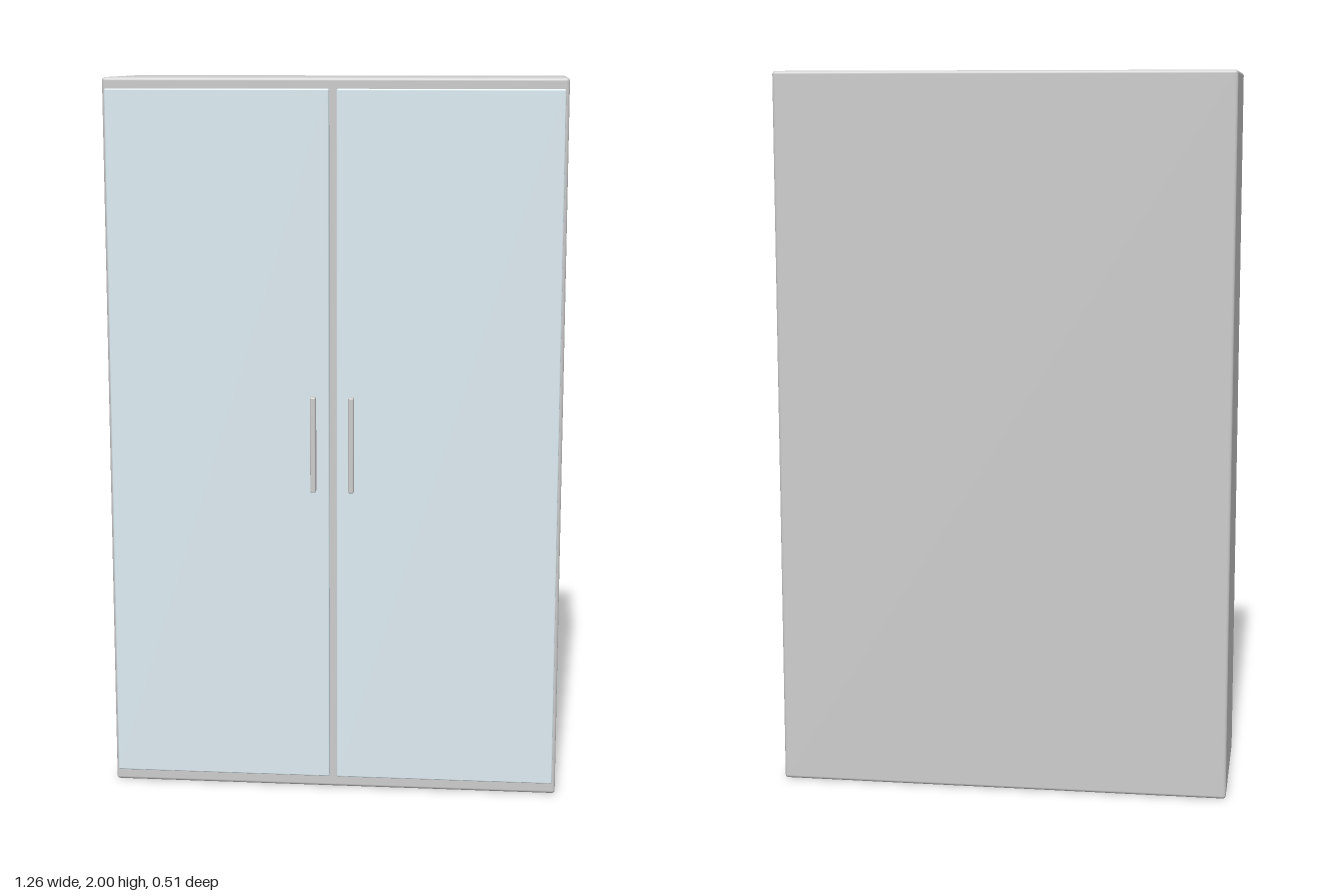
import * as THREE from 'three';
import { RoundedBoxGeometry } from 'three/addons/geometries/RoundedBoxGeometry.js';

export function createModel() {
  const model = new THREE.Group();
  model.name = 'wardrobe';
  const grey = new THREE.MeshStandardMaterial({ color: 0xcccccc });
  const paleBlue = new THREE.MeshStandardMaterial({ color: 0xdcebf2 });

  // Rounded box given by its lower and upper corners
  const addBox = (name, min, max, radius, material) => {
    const size = max.map((v, i) => v - min[i]);
    const mesh = new THREE.Mesh(new RoundedBoxGeometry(...size, 3, radius), material);
    mesh.position.set(...max.map((v, i) => (v + min[i]) / 2));
    mesh.name = name;
    model.add(mesh);
  };

  // Cabinet body
  addBox('cabinet', [-0.63, 0, -0.257], [0.63, 2, 0.212], 0.009, grey);

  // Two doors and their upright handles, mirrored about the middle
  for (const [side, s] of [['left', 1], ['right', -1]]) {
    const span = (a, b) => (s > 0 ? [a, b] : [-b, -a]);
    const [d0, d1] = span(0.01, 0.621);
    addBox(side + 'Door', [d0, 0.035, 0.212], [d1, 1.97, 0.228], 0.004, paleBlue);
    const [h0, h1] = span(0.045, 0.06);
    addBox(side + 'Handle', [h0, 0.87, 0.231], [h1, 1.137, 0.257], 0.004, grey);
  }
  return model;
}
